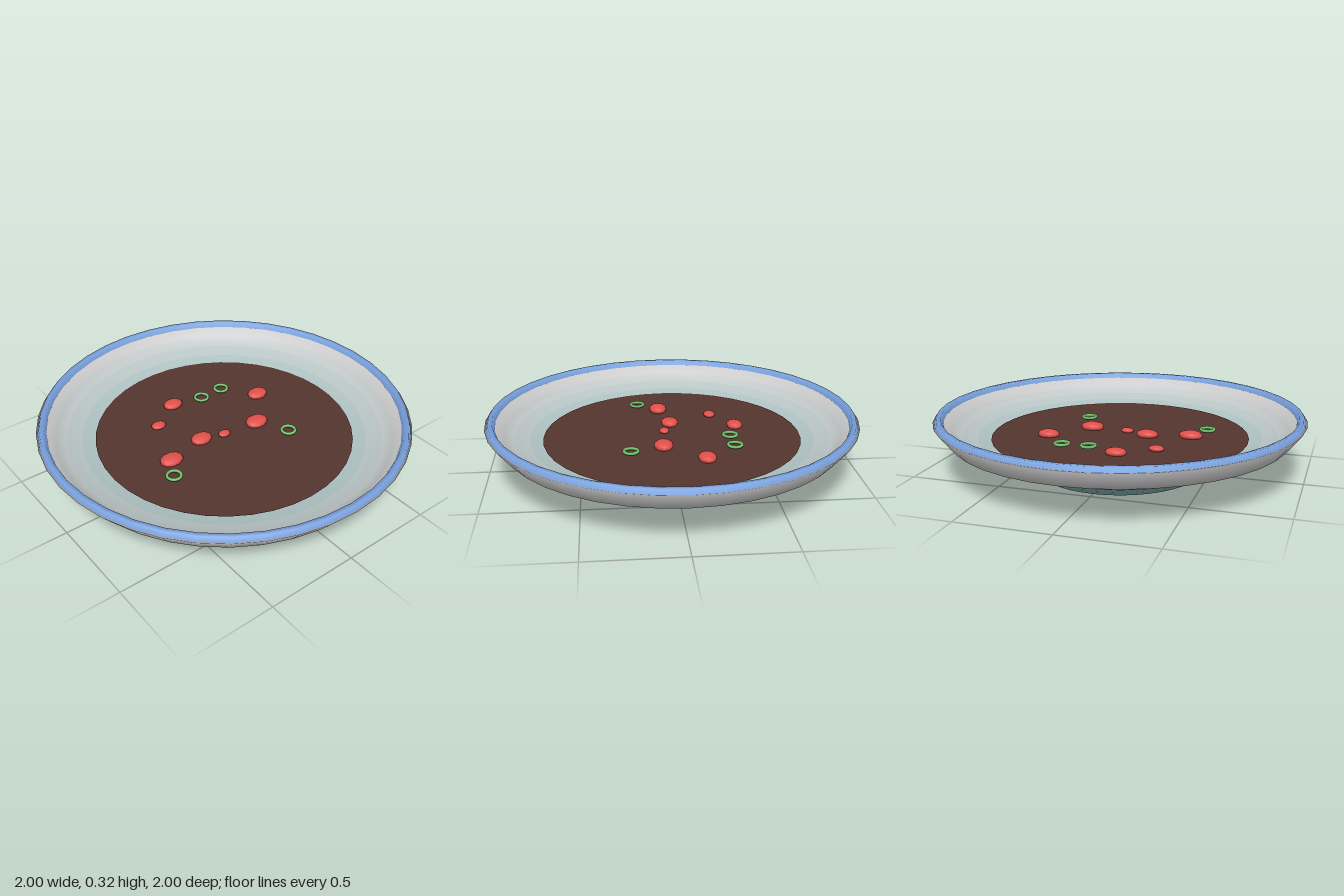
import * as THREE from 'three';

const SIDES = 40;
const mat = (color) => new THREE.MeshStandardMaterial({ color });

function add(parent, name, geometry, material, x = 0, y = 0, z = 0) {
  const mesh = new THREE.Mesh(geometry, material);
  mesh.name = name;
  mesh.position.set(x, y, z);
  parent.add(mesh);
  return mesh;
}

const points = (list) => list.map(([r, y]) => new THREE.Vector2(r, y));

// One smooth bowl, divided into rings so the glaze fades from teal to grey
function createBowl() {
  const profile = points([
    [0, 0], [0.46, 0], [0.5, 0.04], [0.64, 0.093], [0.78, 0.147], [0.92, 0.2], [1, 0.3],
    [0.95, 0.3], [0.91, 0.25], [0.85, 0.22], [0.77, 0.198], [0.69, 0.18], [0.45, 0.13], [0, 0.12],
  ]);
  const lathe = new THREE.LatheGeometry(profile, SIDES);
  const rows = profile.length - 1;
  const index = Array.from(lathe.index.array);
  const teal = new THREE.Color(0x7fb5b5);
  const grey = new THREE.Color(0xcccccc);
  const bowl = new THREE.Group();
  bowl.name = 'bowl';
  for (let row = 0; row < rows; row++) {
    const ring = lathe.clone();
    ring.setIndex(index.filter((_, k) => Math.floor(k / 6) % rows === row));
    const radius = (profile[row].x + profile[row + 1].x) / 2;
    const fade = THREE.MathUtils.clamp((radius - 0.45) / 0.5, 0, 1);
    add(bowl, 'bowlRing', ring, mat(teal.clone().lerp(grey, fade)));
  }
  return bowl;
}

export function createModel() {
  const model = new THREE.Group();
  model.name = 'soupBowl';
  model.add(createBowl());

  // Painted lip
  const lip = points([[0.992, 0.3], [0.982, 0.325], [0.958, 0.325], [0.946, 0.298]]);
  add(model, 'rim', new THREE.LatheGeometry(lip, SIDES), mat(0x7aa2de));

  // Soup surface
  const soup = add(model, 'soup', new THREE.CircleGeometry(0.7, SIDES), mat(0x54352e), 0, 0.188, 0);
  soup.rotation.x = -Math.PI / 2;

  // Flattened red pieces: x, z, half width
  const red = mat(0xe0504a);
  const ball = new THREE.SphereGeometry(1, 10, 8);
  for (const [x, z, r] of [
    [-0.09, -0.36, 0.058], [-0.27, -0.24, 0.043], [0.36, -0.15, 0.062], [-0.155, 0, 0.062],
    [-0.03, 0.04, 0.036], [-0.385, 0.05, 0.066], [0.18, 0.06, 0.067],
  ]) {
    add(model, 'redPiece', ball, red, x, 0.2, z).scale.set(r, r * 0.4, r * 0.78);
  }

  // Green onion rings
  const green = mat(0x78c470);
  const ringGeometry = new THREE.TorusGeometry(0.037, 0.009, 6, 16).rotateX(Math.PI / 2);
  for (const [x, z] of [[0.075, -0.31], [0.22, -0.315], [-0.453, 0.17], [0.26, 0.235]]) {
    add(model, 'onionRing', ringGeometry, green, x, 0.206, z);
  }
  return model;
}
